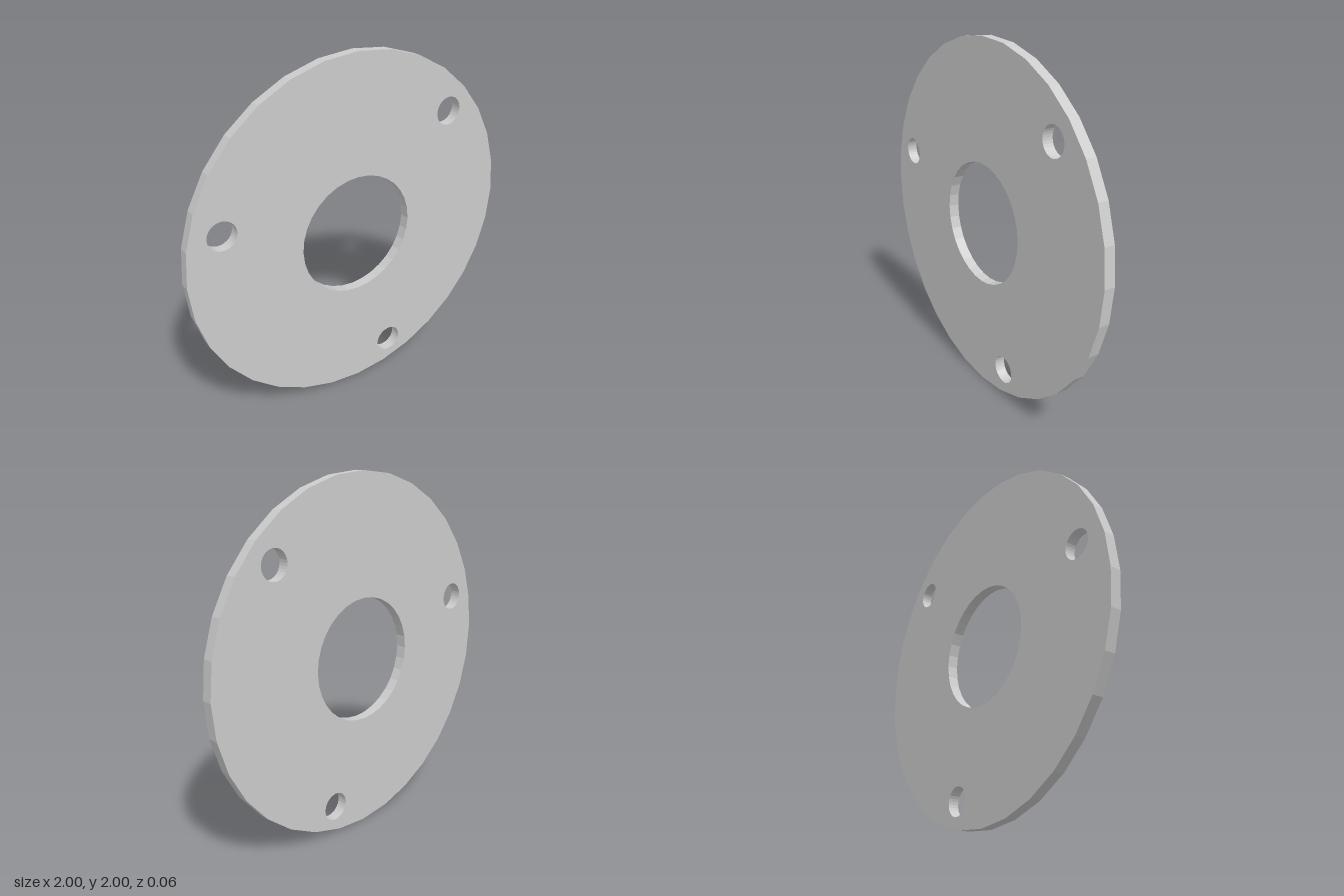
import * as THREE from 'three';

const THICKNESS = 0.06;

// Regular polygon ring of points, first corner on +x
function circlePoints(x, y, radius, sides) {
  return Array.from({ length: sides }, (_, i) => {
    const a = (i / sides) * Math.PI * 2;
    return new THREE.Vector2(x + radius * Math.cos(a), y + radius * Math.sin(a));
  });
}

export function createModel() {
  const group = new THREE.Group();
  group.name = 'flangePlate';

  // Faceted disc outline
  const outline = new THREE.Shape(circlePoints(0, 1, 1, 32));

  // Central bore, slightly off centre
  outline.holes.push(new THREE.Path(circlePoints(-0.005, 0.988, 0.348, 32)));

  // Three bolt holes near the rim
  for (const [x, y] of [[0.604, 1.583], [-0.794, 1.228], [0.225, 0.172]]) {
    outline.holes.push(new THREE.Path(circlePoints(x, y, 0.08, 32)));
  }

  const geometry = new THREE.ExtrudeGeometry(outline, { depth: THICKNESS, bevelEnabled: false });
  geometry.translate(0, 0, -THICKNESS / 2);

  const disc = new THREE.Mesh(
    geometry,
    new THREE.MeshStandardMaterial({ color: 0xcccccc, flatShading: true })
  );
  disc.name = 'disc';
  group.add(disc);
  return group;
}
